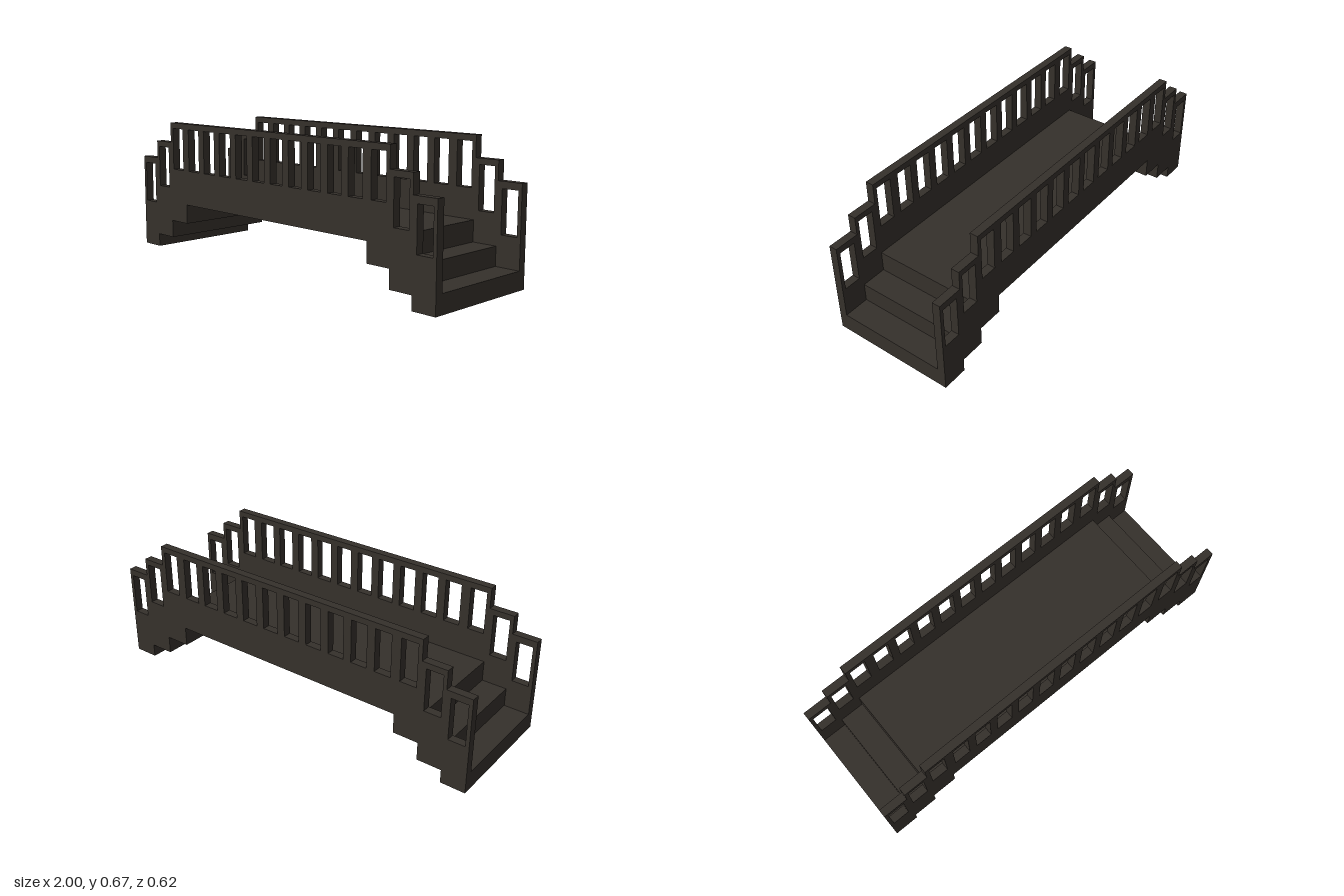
import * as THREE from 'three';

const material = new THREE.MeshStandardMaterial({ color: 0x35302b, flatShading: true });

// Mirrored outline: upper and lower edges are given for the +x half, from the centre outwards
function steppedShape(upper, lower) {
  const half = [...upper, ...lower.slice().reverse()];
  const other = half.slice().reverse().map(([x, y]) => [-x, y]);
  return new THREE.Shape([...half, ...other].map(([x, y]) => new THREE.Vector2(x, y)));
}

// Rectangular opening, wound against the clockwise outline so its reveals face inwards
function addOpening(shape, cx, y0, y1, w = 0.083) {
  shape.holes.push(new THREE.Path([
    new THREE.Vector2(cx - w / 2, y0), new THREE.Vector2(cx + w / 2, y0),
    new THREE.Vector2(cx + w / 2, y1), new THREE.Vector2(cx - w / 2, y1),
  ]));
}

function slab(name, shape, z0, z1) {
  const geometry = new THREE.ExtrudeGeometry(shape, { depth: z1 - z0, bevelEnabled: false });
  geometry.translate(0, 0, z0);
  const mesh = new THREE.Mesh(geometry, material);
  mesh.name = name;
  return mesh;
}

export function createModel() {
  const bridge = new THREE.Group();
  bridge.name = 'footbridge';
  const inner = 0.268, outer = 0.308;

  // Stepped underside shared by the walkway and both side walls
  const underside = [[0.627, 0.252], [0.627, 0.155], [0.754, 0.155], [0.754, 0.066], [0.877, 0.066], [0.877, 0], [1, 0]];

  // Walkway with stairs at both ends
  const walkway = steppedShape(
    [[0.75, 0.284], [0.75, 0.182], [0.875, 0.182], [0.875, 0.09], [1, 0.09]], underside);
  bridge.add(slab('walkway', walkway, -inner, inner));

  // Side wall with railing openings
  const wall = steppedShape(
    [[0.753, 0.668], [0.753, 0.566], [0.876, 0.566], [0.876, 0.475], [1, 0.475]], underside);
  for (const s of [-1, 1]) {
    for (let i = 0; i < 5; i++) addOpening(wall, s * (i + 0.5) * 0.1245, 0.428, 0.639);
    addOpening(wall, s * 0.691, 0.428, 0.639);
    addOpening(wall, s * 0.816, 0.329, 0.537);
    addOpening(wall, s * 0.94, 0.236, 0.442);
  }
  bridge.add(slab('frontRailing', wall, inner, outer));
  bridge.add(slab('backRailing', wall, -outer, -inner));

  return bridge;
}
